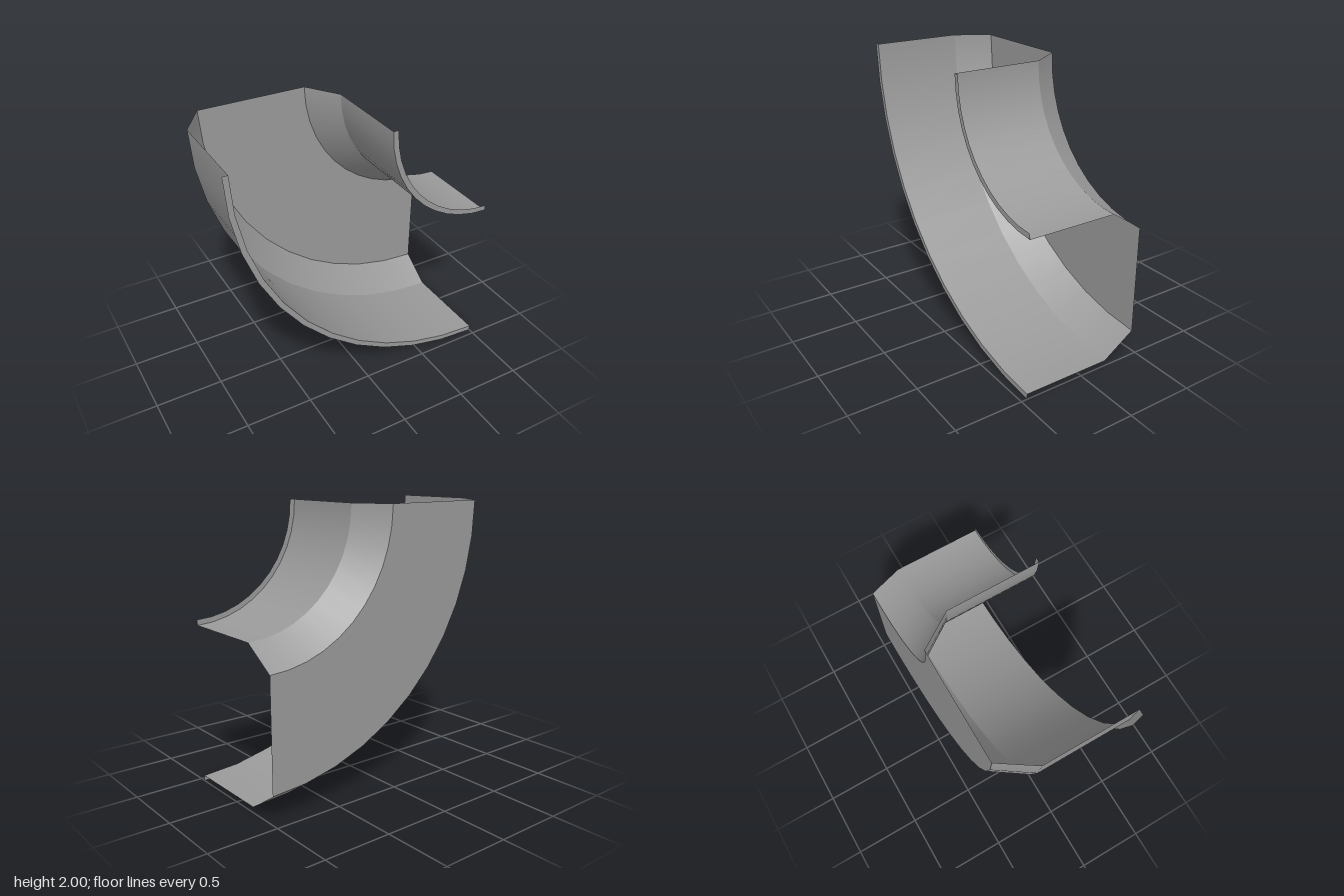
import * as THREE from 'three';

// Quarter-turn bend of an open, lipped tray
export function createModel() {
  const group = new THREE.Group();
  group.name = 'trayBend';
  const material = new THREE.MeshStandardMaterial({ color: 0x9a9a9a, side: THREE.DoubleSide });

  // Cross-section from outer lip to inner lip: [radius, z]
  const profile = [
    [2.0, 0.454], [1.96, 0.454], [1.96, -0.213], [1.8, -0.454],
    [1.0, -0.454], [0.84, -0.213], [0.84, 0.454], [0.8, 0.454],
  ];
  const names = ['outerLip', 'outerWall', 'outerChamfer', 'floor', 'innerChamfer', 'innerWall', 'innerLip'];

  // One smooth swept strip per profile edge keeps the folds sharp
  names.forEach((name, i) => {
    const edge = [profile[i], profile[i + 1]].map(([r, z]) => new THREE.Vector2(r, z));
    const geometry = new THREE.LatheGeometry(edge, 11, -Math.PI / 2, Math.PI / 2);
    geometry.rotateX(Math.PI / 2); // sweep axis along z
    geometry.translate(1, 2, 0); // bend centre at the upper corner
    const mesh = new THREE.Mesh(geometry, material);
    mesh.name = name;
    group.add(mesh);
  });
  return group;
}
